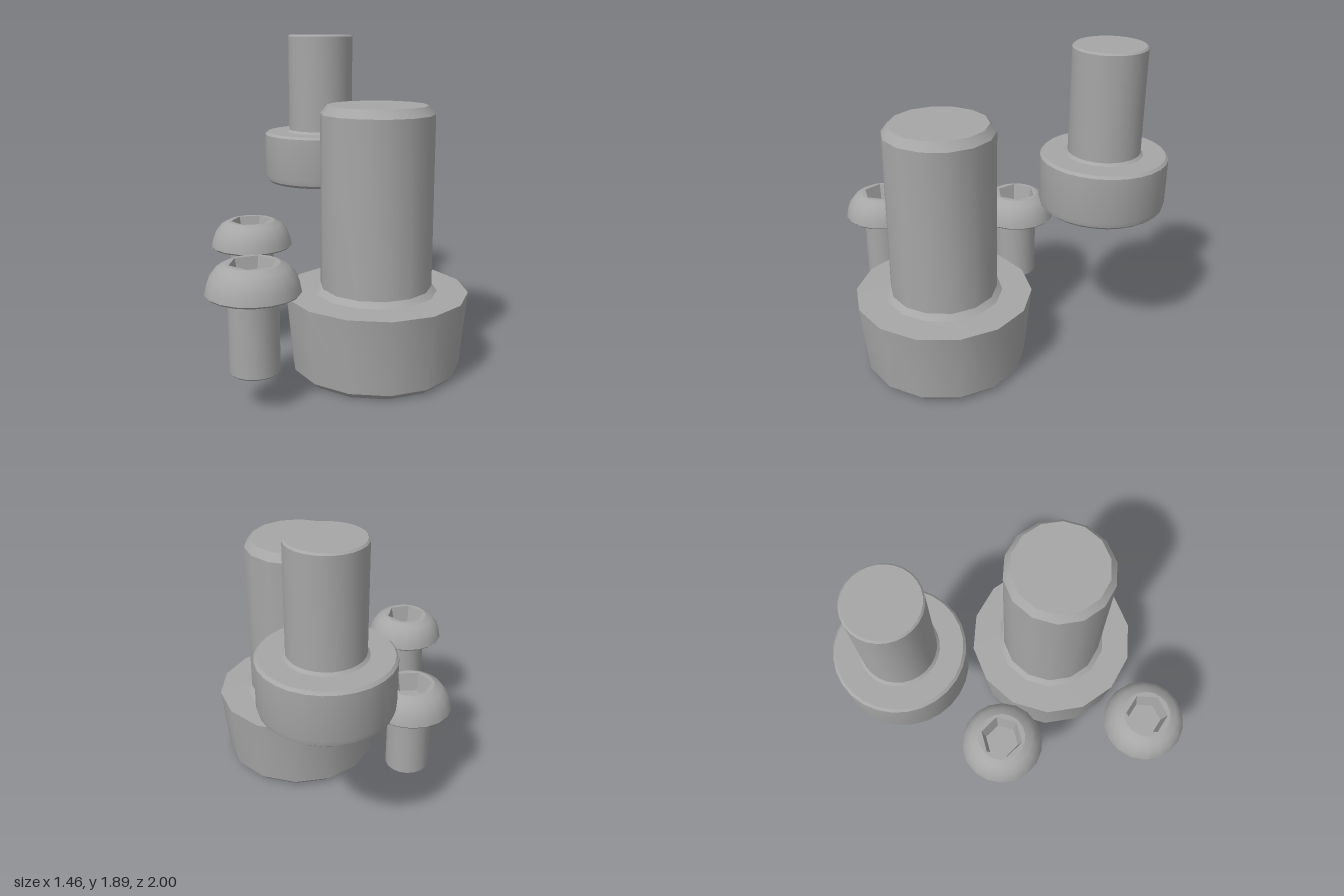
import * as THREE from 'three';
import { toCreasedNormals } from 'three/addons/utils/BufferGeometryUtils.js';

const steel = new THREE.MeshStandardMaterial({ color: 0xa6a6a6 });
steel.name = 'steel grey';

// Closed outline of a driver recess; radius is a function of the angle
function outline(count, phase, radius) {
  return Array.from({ length: count }, (_, i) => {
    const a = (i / count) * Math.PI * 2;
    const r = radius(a);
    return new THREE.Vector2(r * Math.cos(a + phase), r * Math.sin(a + phase));
  });
}

function part(name, geometry) {
  const mesh = new THREE.Mesh(geometry, steel);
  mesh.name = name;
  return mesh;
}

// Flat face pointing down at height y
function faceDown(shape, y) {
  return new THREE.ShapeGeometry(shape).rotateX(Math.PI / 2).translate(0, y, 0);
}

// Inward facing wall from the mouth of the recess to its floor
function recessWall(points, depth, taper) {
  const pos = [];
  points.forEach((p, i) => {
    const q = points[(i + 1) % points.length];
    const a = [p.x, 0, p.y], b = [q.x, 0, q.y];
    const c = [q.x * taper, depth, q.y * taper], d = [p.x * taper, depth, p.y * taper];
    pos.push(...a, ...b, ...c, ...a, ...c, ...d);
  });
  const g = new THREE.BufferGeometry();
  g.setAttribute('position', new THREE.Float32BufferAttribute(pos, 3));
  g.computeVertexNormals();
  return toCreasedNormals(g, 0.6);
}

// Bolt standing on its head: turned body, drive face, recess wall and floor
function bolt(name, { profile, sides, recess, depth, taper = 1 }) {
  const group = new THREE.Group();
  group.name = name;

  const body = new THREE.LatheGeometry(profile.map(([r, y]) => new THREE.Vector2(r, y)), sides);
  group.add(part('headAndShank', toCreasedNormals(body, 0.5)));

  const rim = Array.from({ length: sides }, (_, i) => {
    const a = (i / sides) * Math.PI * 2;
    return new THREE.Vector2(profile[0][0] * Math.sin(a), profile[0][0] * Math.cos(a));
  });
  const face = new THREE.Shape(rim);
  face.holes.push(new THREE.Path(recess));
  group.add(part('driveFace', faceDown(face, 0)));
  group.add(part('recessWall', recessWall(recess, depth, taper)));

  const floor = new THREE.Shape(recess.map((p) => p.clone().multiplyScalar(taper)));
  group.add(part('recessFloor', faceDown(floor, depth)));
  return group;
}

export function createModel() {
  const model = new THREE.Group();
  model.name = 'boltSet';

  // Large bolt with a tapered head and a six-lobed recess
  const large = bolt('largeBolt', {
    profile: [[0.45, 0], [0.485, 0.035], [0.525, 0.462], [0.35, 0.465], [0.318, 0.495],
      [0.318, 1.47], [0.28, 1.518], [0, 1.518]],
    sides: 14,
    recess: outline(60, 0.62, (a) => 0.26 + 0.14 * Math.pow((1 + Math.cos(6 * a)) / 2, 1.2)),
    depth: 0.28,
  });
  large.position.set(0.21, 0, 0.305);
  model.add(large);

  // Medium cap bolt with a hexagonal recess
  const medium = bolt('mediumBolt', {
    profile: [[0.34, 0], [0.362, 0.018], [0.37, 0.05], [0.37, 0.315], [0.355, 0.33],
      [0.225, 0.33], [0.21, 0.345], [0.21, 0.95], [0.2, 0.96], [0, 0.96]],
    sides: 28,
    recess: outline(6, 0.12, () => 0.185),
    depth: 0.18,
  });
  medium.position.set(-0.015, 0.932, -0.63);
  model.add(medium);

  // Two small round-headed bolts, heads up
  for (const [name, z, phase] of [['smallFrontBolt', 0.752, 0.3], ['smallBackBolt', -0.135, 0.1]]) {
    const small = bolt(name, {
      profile: [[0.14, 0], [0.185, 0.022], [0.22, 0.066], [0.24, 0.115], [0.247, 0.15],
        [0.238, 0.16], [0.132, 0.16], [0.132, 0.572], [0.126, 0.58], [0, 0.58]],
      sides: 18,
      recess: outline(6, phase, () => 0.125),
      depth: 0.11,
      taper: 0.8,
    });
    small.rotation.x = Math.PI;
    small.position.set(-0.49, 0.78, z);
    model.add(small);
  }
  return model;
}
